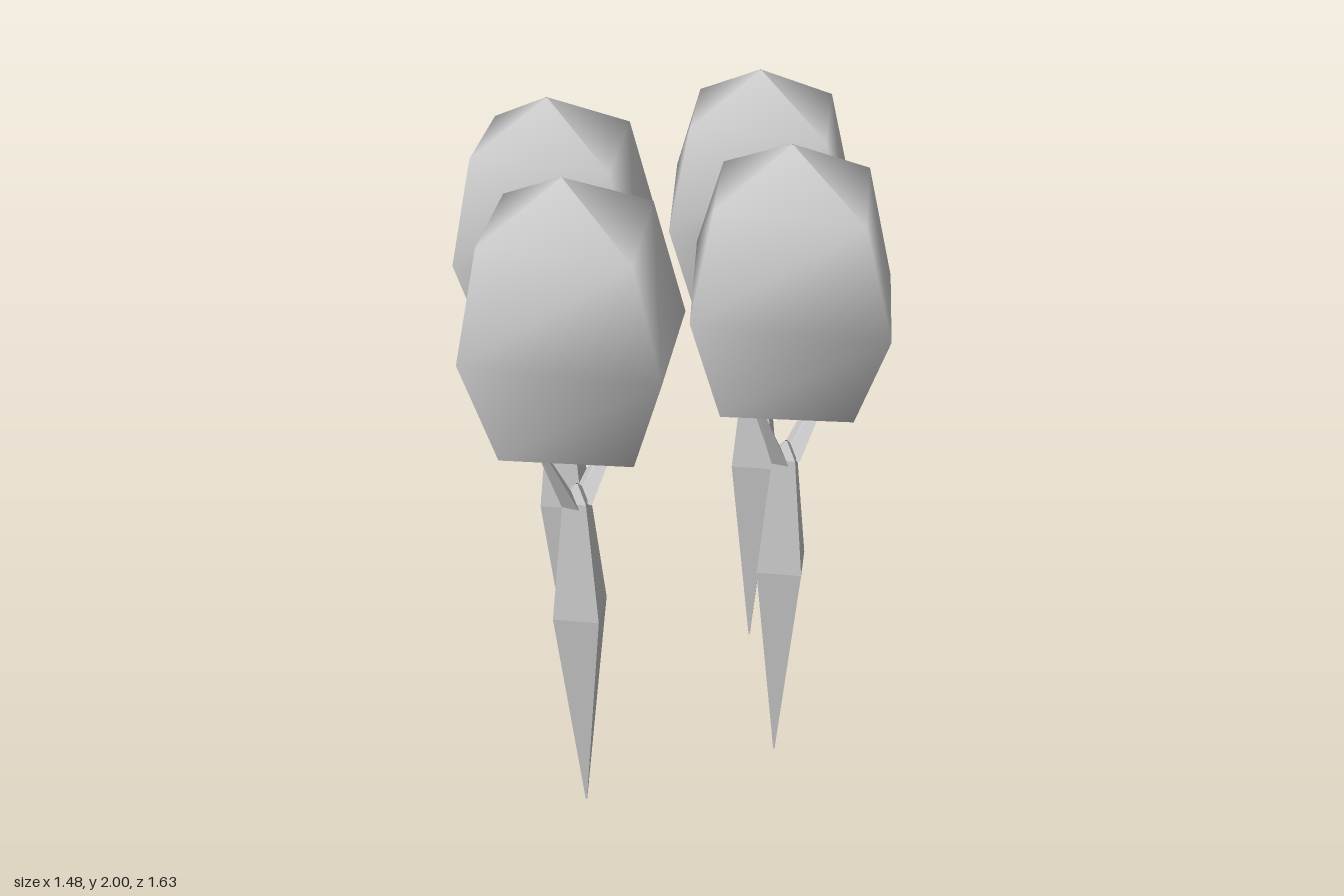
import * as THREE from 'three';

// Lofts four-cornered rings, listed bottom to top, corners in the order +x, -z, -x, +z
function loft(rings, smooth) {
  const index = [];
  for (let r = 0; r < rings.length - 1; r++) {
    for (let i = 0; i < 4; i++) {
      const a = r * 4 + i, b = r * 4 + (i + 1) % 4;
      index.push(a, b, b + 4, a, b + 4, a + 4);
    }
  }
  const geo = new THREE.BufferGeometry();
  geo.setAttribute('position', new THREE.Float32BufferAttribute(rings.flat(2), 3));
  geo.setIndex(index);
  const out = smooth ? geo : geo.toNonIndexed();
  out.computeVertexNormals();
  return out;
}

// Diamond ring around a centre
const diamond = (x, y, z, rx, rz = rx) =>
  [[x + rx, y, z], [x, y, z - rz], [x - rx, y, z], [x, y, z + rz]];

// Canopy ring: x corners share a height, back and front corners have their own
const canopyRing = (rx, yx, back, yBack, front, yFront) =>
  [[rx, yx, 0], [0, yBack, -back], [-rx, yx, 0], [0, yFront, front]];

function canopyGeometry() {
  return loft([
    canopyRing(0.28, 1.305, 0.245, 1.275, 0.23, 1.275),
    canopyRing(0.4, 1.59, 0.38, 1.525, 0.335, 1.585),
    canopyRing(0.285, 1.865, 0.275, 1.87, 0.26, 1.88),
    diamond(0, 2, 0.005, 0.002),
  ], true);
}

// Underside folded along the x diagonal
function undersideGeometry() {
  const c = canopyRing(0.28, 1.305, 0.245, 1.275, 0.23, 1.275);
  const geo = new THREE.BufferGeometry();
  geo.setAttribute('position', new THREE.Float32BufferAttribute(
    [c[0], c[2], c[1], c[0], c[3], c[2]].flat(), 3));
  geo.computeVertexNormals();
  return geo;
}

export function createModel() {
  const model = new THREE.Group();
  model.name = 'treeGroup';
  const smoothMat = new THREE.MeshStandardMaterial({ color: 0xcccccc, side: THREE.DoubleSide });
  const flatMat = new THREE.MeshStandardMaterial({ color: 0xcccccc, flatShading: true, side: THREE.DoubleSide });

  const trunk = loft([
    diamond(0, 0, 0, 0.003),
    diamond(0, 0.705, 0, 0.092),
    diamond(0, 1.07, 0, 0.046),
    diamond(0.005, 1.12, 0, 0.004),
  ], false);
  // Tapered branch, one to the front and one to the back
  const branch = (side) => loft([
    diamond(0, 1.06, side * 0.022, 0.042, 0.026),
    diamond(0.03, 1.34, side * 0.155, 0.018, 0.006),
  ], false);

  const parts = [
    ['canopy', canopyGeometry(), smoothMat, 0],
    ['canopyUnderside', undersideGeometry(), flatMat, 0],
    ['trunk', trunk, flatMat, -0.007],
    ['frontBranch', branch(1), flatMat, -0.007],
    ['backBranch', branch(-1), flatMat, -0.007],
  ];

  // Four identical trees
  const spots = [[0.175, 0.48], [0.342, -0.12], [-0.342, 0.18], [-0.17, -0.44]];
  spots.forEach(([x, z], i) => {
    const tree = new THREE.Group();
    tree.name = `tree${i + 1}`;
    for (const [name, geo, mat, dz] of parts) {
      const mesh = new THREE.Mesh(geo, mat);
      mesh.name = name;
      mesh.position.z = dz;
      tree.add(mesh);
    }
    tree.position.set(x, 0, z);
    model.add(tree);
  });
  return model;
}
